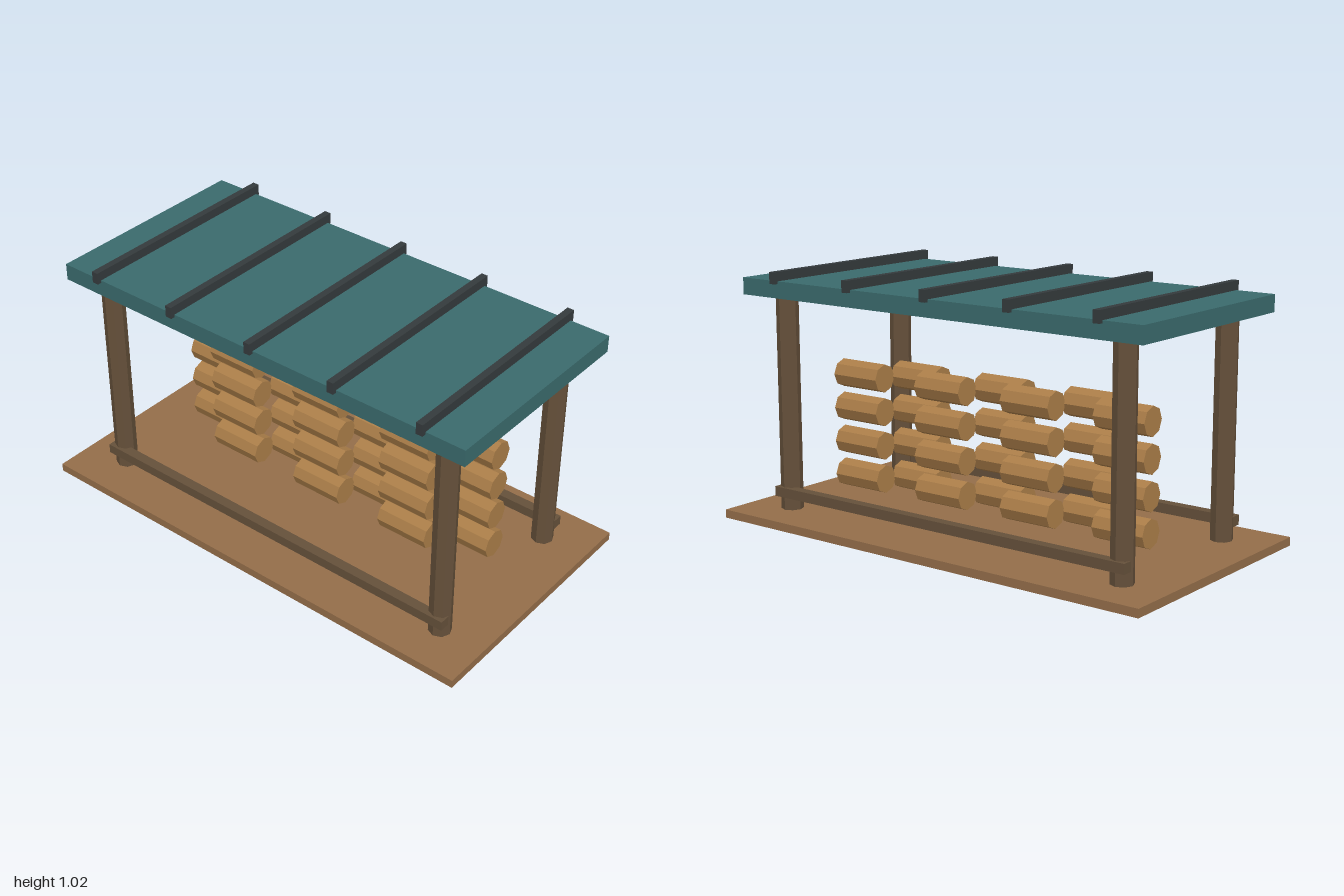
import * as THREE from 'three';

const material = (color) => new THREE.MeshStandardMaterial({ color, flatShading: true });

export function createModel() {
  const group = new THREE.Group();
  const floorWood = material(0x936d49);
  const postWood = material(0x65503a);
  const logWood = material(0xaa7d48);
  const roofTeal = material(0x3a6a6c);
  const battenGrey = material(0x343a3c);

  const add = (name, geometry, mat, x, y, z) => {
    const mesh = new THREE.Mesh(geometry, mat);
    mesh.name = name;
    mesh.position.set(x, y, z);
    group.add(mesh);
    return mesh;
  };

  // Floor slab
  add('floor', new THREE.BoxGeometry(2, 0.034, 1.06), floorWood, 0, 0.017, 0);

  // Four octagonal posts, and a low rail along the front and back
  const postGeo = new THREE.CylinderGeometry(0.045, 0.045, 0.88, 8);
  const railGeo = new THREE.BoxGeometry(1.7, 0.04, 0.042);
  for (const side of [1, -1]) {
    for (const end of [1, -1]) add('post', postGeo, postWood, end * 0.807, 0.474, side * 0.34);
    add('rail', railGeo, postWood, 0, 0.108, side * 0.373);
  }

  // Stacked logs, alternating between a front and a back row
  const logGeo = new THREE.CylinderGeometry(0.058, 0.058, 0.224, 8).rotateZ(Math.PI / 2);
  for (let layer = 0; layer < 4; layer++) {
    for (let i = 0; i < 7; i++) {
      add('log', logGeo, logWood, (i - 3) * 0.214, 0.143 + layer * 0.14, i % 2 ? 0.031 : -0.076);
    }
  }

  // Flat roof with raised battens
  add('roof', new THREE.BoxGeometry(1.888, 0.068, 0.89), roofTeal, 0, 0.946, 0);
  const battenGeo = new THREE.BoxGeometry(0.028, 0.047, 0.924);
  for (let i = -2; i <= 2; i++) add('roofBatten', battenGeo, battenGrey, i * 0.383, 0.993, 0);

  return group;
}
